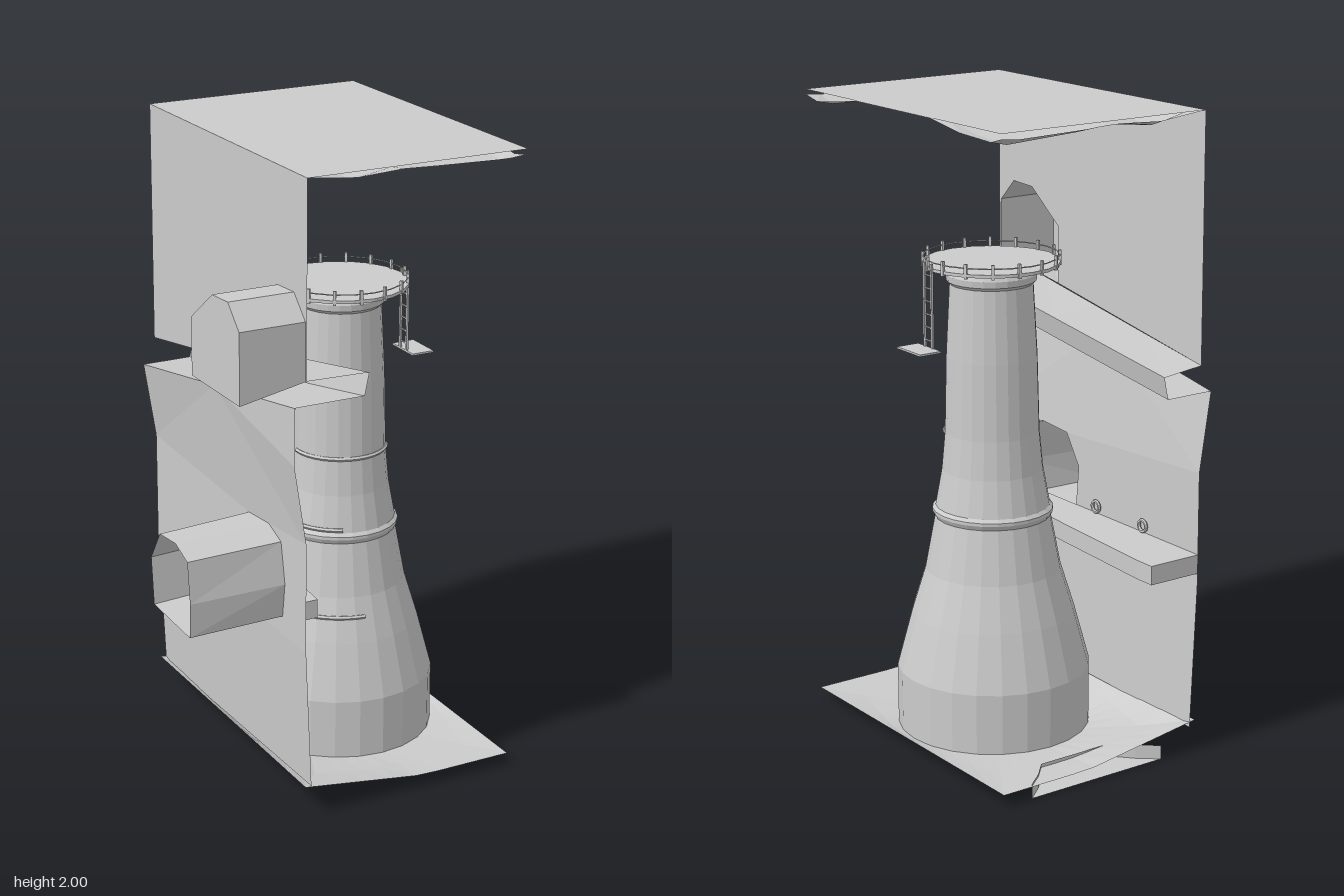
import * as THREE from 'three';

const mat = new THREE.MeshStandardMaterial({ color: 0xcccccc, flatShading: true, side: THREE.DoubleSide });
const lerp = THREE.MathUtils.lerp;
const CX = 0.18, CZ = 0.01; // tower axis

function add(parent, name, geo, x = 0, y = 0, z = 0) {
  const m = new THREE.Mesh(geo, mat);
  m.name = name;
  m.position.set(x, y, z);
  parent.add(m);
}

// Surface through rows of [x, y, z] points
function sheet(rows) {
  const n = rows[0].length, idx = [];
  for (let i = 0; i < rows.length - 1; i++)
    for (let j = 0; j < n - 1; j++) {
      const a = i * n + j, b = a + n;
      idx.push(a, a + 1, b, a + 1, b + 1, b);
    }
  const g = new THREE.BufferGeometry();
  g.setAttribute('position', new THREE.Float32BufferAttribute(rows.flat(2), 3));
  g.setIndex(idx);
  g.computeVertexNormals();
  return g;
}

const toVectors = (pts) => pts.map(([a, b]) => new THREE.Vector2(a, b));

// Flat outline in (z, y), set upright at x = depth(y)
function wallSheet(outline, depth, holes = []) {
  const s = new THREE.Shape(toVectors(outline));
  s.holes = holes.map((h) => new THREE.Path(toVectors(h)));
  const g = new THREE.ShapeGeometry(s), p = g.attributes.position;
  for (let i = 0; i < p.count; i++) {
    const z = p.getX(i), y = p.getY(i);
    p.setXYZ(i, depth(y), y, z);
  }
  g.computeVertexNormals();
  return g;
}

export function createModel() {
  const root = new THREE.Group();

  // Tunnel cross-sections in (z, y)
  const lowArch = [[0.37, 0.61], [0.385, 0.72], [0.36, 0.85], [0.28, 0.88], [0.15, 0.87], [0.085, 0.77], [0.1, 0.62]];
  const highArch = [[0.2, 1.355], [0.2, 1.54], [0.34, 1.645], [0.44, 1.65], [0.51, 1.58], [0.51, 1.4]];
  const highEnd = highArch.map(([z, y]) => [z, y < 1.45 ? 1.36 : y]);
  const closed = (pts) => [...pts, pts[0]];

  // Wall halves, parted by the sloping ledge
  add(root, 'upperWall', wallSheet(
    [[-0.52, 1.235], ...highArch, [0.52, 1.4], [0.52, 2], [-0.52, 2]], () => -0.21));
  const bulge = (y) => y < 0.9
    ? -0.21 + 0.02 * Math.max(0, 0.4 - y) / 0.3
    : lerp(-0.21, -0.25, Math.min(1, (y - 0.9) / 0.25));
  add(root, 'lowerWall', wallSheet(
    [[-0.52, 0.08], [0.52, 0.1], [0.52, 0.55], [0.52, 0.9], [0.52, 1.15], [0.52, 1.33],
      [0, 1.24], [-0.52, 1.15], [-0.52, 0.9], [-0.52, 0.55]], bulge, [lowArch]));

  // Open lower tunnel
  add(root, 'lowerTunnel', sheet([
    closed(lowArch).map(([z, y]) => [-0.21, y, z]),
    closed(lowArch).map(([z, y]) => [-0.52, y - 0.005, Math.min(0.375, z + (z < 0.2 ? 0.02 : 0))]),
  ]));

  // Closed upper tunnel with its end wall
  add(root, 'upperTunnel', sheet([
    closed(highArch).map(([z, y]) => [-0.21, y, z]),
    closed(highEnd).map(([z, y]) => [-0.42, y, z]),
  ]));
  add(root, 'upperTunnelEnd', wallSheet(highEnd, () => -0.42));

  // Sloping ledge, open toward the wall
  const ledge = [];
  for (let i = 0; i <= 4; i++) {
    const t = i / 4, z = lerp(-0.52, 0.52, t), y = lerp(1.15, 1.33, t), x = lerp(-0.07, -0.005, t);
    ledge.push([[-0.21, y + 0.085 - 0.01 * t, z], [x, y + 0.07, z], [x - 0.015, y, z], [-0.25, y, z]]);
  }
  add(root, 'slopingLedge', sheet(ledge));

  // Level ledge outside the lower tunnel
  const plan = new THREE.Shape(toVectors([[-0.21, -0.37], [-0.09, -0.37], [-0.03, 0.45], [-0.03, 0.52], [-0.21, 0.52]]));
  add(root, 'levelLedge',
    new THREE.ExtrudeGeometry(plan, { depth: 0.06, bevelEnabled: false }).rotateX(-Math.PI / 2), 0, 0.58, 0);

  // Wall rings
  for (const z of [-0.02, -0.26])
    add(root, 'wallRing', new THREE.TorusGeometry(0.018, 0.006, 6, 12).rotateY(Math.PI / 2), -0.2, 0.665, z);

  // Floor around the tower, rising to the wall, with rays through its four corners
  const angles = Array.from({ length: 40 }, (_, i) => (i / 40) * Math.PI * 2);
  for (const x of [-0.21, 0.515])
    for (const z of [-0.52, 0.52])
      angles.push((Math.atan2(z - CZ, x - CX) + Math.PI * 2) % (Math.PI * 2));
  angles.sort((a, b) => a - b);
  const rim = [], mid = [], edge = [];
  for (const a of closed(angles)) {
    const c = Math.cos(a), s = Math.sin(a);
    const reach = Math.min(
      (c > 0 ? 0.515 - CX : CX + 0.21) / Math.max(Math.abs(c), 1e-6),
      (s > 0 ? 0.52 - CZ : CZ + 0.52) / Math.max(Math.abs(s), 1e-6));
    const x = CX + c * reach, z = CZ + s * reach;
    const y = 0.04 + 0.06 * Math.max(0, (0.2 - x) / 0.41);
    const rx = CX + c * 0.3, rz = CZ + s * 0.3;
    rim.push([rx, 0.028, rz]);
    mid.push([lerp(rx, x, 0.5), lerp(0.028, y, 0.4), lerp(rz, z, 0.5)]);
    edge.push([x, y, z]);
  }
  add(root, 'floor', sheet([rim, mid, edge]));

  // Shallow recess at the rear of the floor
  const bay = [[-0.08, -0.515], [-0.02, -0.465], [0.03, -0.41], [0.3, -0.41], [0.35, -0.465], [0.41, -0.515]];
  add(root, 'rearRecess', sheet([0.045, 0].map((y) => bay.map(([x, z]) => [x, y, z]))));
  add(root, 'rearRecessBase', sheet([bay.map(([x, z]) => [x, 0, z]), bay.map(([x]) => [x, 0, -0.515])]));

  // Ceiling: flat top and rough underside
  add(root, 'ceiling', sheet([-0.52, 0.52].map((z) => [-0.21, 0.515].map((x) => [x, 2, z]))));
  const dips = [[-0.52, 0.5], [-0.47, 1], [-0.32, 0.8], [-0.17, 0.05], [0.23, 0.05], [0.35, 0.6], [0.45, 1], [0.52, 0.5]];
  const drops = [[-0.21, 0], [-0.05, 0.035], [0.1, 0.02], [0.22, 0.03], [0.46, 0.042], [0.515, 0.03]];
  add(root, 'ceilingUnderside', sheet(dips.map(([z, d]) => drops.map(([x, h]) => [x, 2 - h * d, z]))));

  // Tower
  const tower = new THREE.Group();
  tower.name = 'tower';
  tower.position.set(CX, 0, CZ);
  root.add(tower);
  const profile = [[0.303, 0.028], [0.303, 0.22], [0.255, 0.4], [0.212, 0.54], [0.18, 0.71], [0.188, 0.725], [0.188, 0.735],
    [0.178, 0.745], [0.157, 0.86], [0.146, 0.98], [0.14, 1.22], [0.128, 1.445], [0.138, 1.455], [0.14, 1.475], [0.13, 1.495], [0.13, 1.505]];
  add(tower, 'towerBody', new THREE.LatheGeometry(toVectors(profile), 24));

  // Partial hoops: height, radius, start angle and sweep (0 at +x, quarter turn at +z)
  for (const [y, r, start, sweep] of [[0.48, 0.231, 1.7, 1.5], [0.98, 0.147, 0.5, 2.7], [1.225, 0.14, 1.8, 1.4], [0.755, 0.178, 2, 1.2]])
    add(tower, 'partialHoop',
      new THREE.TorusGeometry(r, 0.007, 5, 14, sweep).rotateX(Math.PI / 2).rotateY(-start), 0, y, 0);

  // Lookout deck with posts and rail
  add(tower, 'deck', new THREE.CylinderGeometry(0.212, 0.212, 0.01, 20), 0, 1.508, 0);
  add(tower, 'rail', new THREE.TorusGeometry(0.208, 0.002, 4, 20).rotateX(Math.PI / 2), 0, 1.53, 0);
  for (let i = 0; i < 16; i++) {
    const a = (i + 0.5) / 16 * Math.PI * 2;
    add(tower, 'railPost', new THREE.BoxGeometry(0.009, 0.045, 0.009).rotateY(-a),
      0.208 * Math.cos(a), 1.52, 0.208 * Math.sin(a));
  }

  // Hanging ladder with foot plate
  for (const z of [0.005, 0.045])
    add(tower, 'ladderBar', new THREE.BoxGeometry(0.007, 0.265, 0.008), 0.214, 1.395, z);
  for (let i = 0; i < 6; i++)
    add(tower, 'ladderRung', new THREE.BoxGeometry(0.004, 0.004, 0.04), 0.214, 1.29 + i * 0.04, 0.025);
  add(tower, 'footPlate', new THREE.BoxGeometry(0.075, 0.006, 0.125), 0.249, 1.265, 0.025);

  return root;
}
